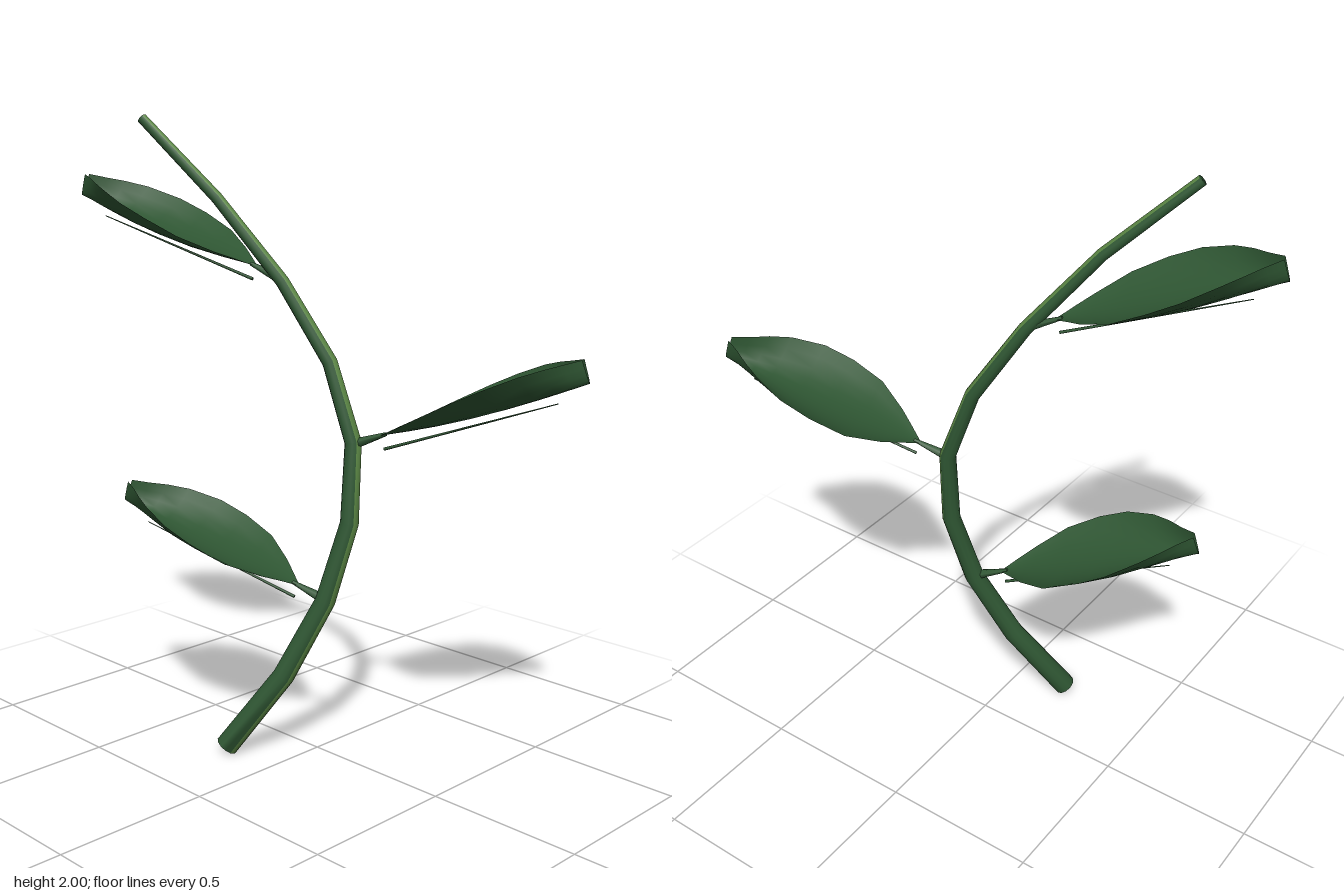
import * as THREE from 'three';

const V = (x, y, z) => new THREE.Vector3(x, y, z);
const leafGreen = new THREE.MeshStandardMaterial({ name: 'leafGreen', color: 0x2e5532, side: THREE.DoubleSide });
const stemGreen = new THREE.MeshStandardMaterial({ name: 'stemGreen', color: 0x305834 });
const stemOlive = new THREE.MeshStandardMaterial({ name: 'stemOlive', color: 0x5c8845 });

// Tapered branch with one ring per joint; an olive strip runs along its outer (+x) curve
function stemGeometry(points, r0, r1, sides = 12) {
  const pos = [], green = [], olive = [], last = points.length - 1;
  const front = V(0.4, 0, 0.917);
  points.forEach((p, i) => {
    const t = points[Math.min(i + 1, last)].clone().sub(points[Math.max(i - 1, 0)]).normalize();
    const e2 = t.clone().cross(front).normalize();
    const e1 = e2.clone().cross(t);
    const r = r0 + (r1 - r0) * i / last;
    for (let j = 0; j < sides; j++) {
      const a = (j + 0.5) / sides * Math.PI * 2;
      const q = p.clone().addScaledVector(e1, r * Math.cos(a)).addScaledVector(e2, r * Math.sin(a));
      pos.push(q.x, q.y, q.z);
    }
  });
  for (let i = 0; i < last; i++) for (let j = 0; j < sides; j++) {
    const a = i * sides + j, b = i * sides + (j + 1) % sides;
    const list = j >= 1 && j <= 3 ? olive : green;
    list.push(a, b, b + sides, a, b + sides, a + sides);
  }
  for (let j = 1; j < sides - 1; j++) {
    const k = last * sides;
    green.push(0, j + 1, j, k, k + j, k + j + 1);
  }
  const g = new THREE.BufferGeometry();
  g.setAttribute('position', new THREE.Float32BufferAttribute(pos, 3));
  g.setIndex([...green, ...olive]);
  g.addGroup(0, green.length, 0);
  g.addGroup(green.length, olive.length, 1);
  g.computeVertexNormals();
  return g;
}

// Cupped, slightly sagging blade along local +x: [position, half width, rim height]
const sections = [
  [0, 0.006, 0], [0.07, 0.05, 0.012], [0.15, 0.1, 0.024], [0.3, 0.17, 0.048], [0.47, 0.188, 0.07],
  [0.62, 0.18, 0.082], [0.77, 0.134, 0.086], [0.86, 0.09, 0.082], [0.93, 0.047, 0.076], [1, 0.012, 0.07],
];
function bladeGeometry(length, across = 10) {
  const pos = [], idx = [], n = across + 1;
  sections.forEach(([t, w, h], i) => {
    const sag = 0.016 * Math.sin(Math.PI * t);
    for (let j = 0; j <= across; j++) {
      const u = j / across * 2 - 1;
      pos.push(t * length, h * u * u - sag, w * u);
      if (i && j) {
        const a = (i - 1) * n + j - 1;
        idx.push(a, a + 1, a + n + 1, a, a + n + 1, a + n);
      }
    }
  });
  const g = new THREE.BufferGeometry();
  g.setAttribute('position', new THREE.Float32BufferAttribute(pos, 3));
  g.setIndex(idx);
  g.computeVertexNormals();
  return g;
}

// Thin tapered rod between two points
function rod(name, a, b, ra, rb, material) {
  const d = b.clone().sub(a);
  const m = new THREE.Mesh(new THREE.CylinderGeometry(rb, ra, d.length(), 6), material);
  m.name = name;
  m.position.copy(a).addScaledVector(d, 0.5);
  m.quaternion.setFromUnitVectors(V(0, 1, 0), d.normalize());
  return m;
}

// Leaf with blade, hanging midrib and stalk; sign +1 points to +x, -1 to -x
function leaf(name, base, joint, sign) {
  const g = new THREE.Group();
  g.name = name;
  const axis = V(0.6 * sign, 0.205, -0.21 * sign);
  const x = axis.clone().normalize();
  const z = x.clone().cross(V(0, 1, 0)).normalize();
  const y = z.clone().cross(x);
  const blade = new THREE.Mesh(bladeGeometry(axis.length()), leafGreen);
  blade.name = 'blade';
  blade.quaternion.setFromRotationMatrix(new THREE.Matrix4().makeBasis(x, y, z));
  blade.position.copy(base);
  const ribStart = base.clone().addScaledVector(axis, 0.02).add(V(0, -0.045, 0));
  const ribEnd = base.clone().addScaledVector(axis, 0.86).add(V(0, -0.036, 0));
  g.add(blade,
    rod('midrib', ribStart, ribEnd, 0.005, 0.0015, leafGreen),
    rod('stalk', joint, base.clone().addScaledVector(axis, 0.03), 0.017, 0.006, stemGreen));
  return g;
}

export function createModel() {
  const model = new THREE.Group();
  model.name = 'leafyBranch';
  const path = [
    V(-0.18, 0.022, 0.23), V(-0.03, 0.27, 0.12), V(0.07, 0.52, 0.035), V(0.12, 0.77, -0.02), V(0.115, 1.02, -0.04),
    V(0.03, 1.26, -0.025), V(-0.115, 1.5, 0.035), V(-0.305, 1.75, 0.13), V(-0.54, 1.99, 0.228),
  ];
  const stem = new THREE.Mesh(stemGeometry(path, 0.037, 0.016), [stemGreen, stemOlive]);
  stem.name = 'stem';
  model.add(stem,
    leaf('lowerLeaf', V(-0.02, 0.56, 0.065), V(0.065, 0.525, 0.035), -1),
    leaf('middleLeaf', V(0.2, 1.05, -0.07), V(0.115, 1.015, -0.04), 1),
    leaf('upperLeaf', V(-0.2, 1.545, 0.065), V(-0.115, 1.505, 0.035), -1));
  return model;
}
